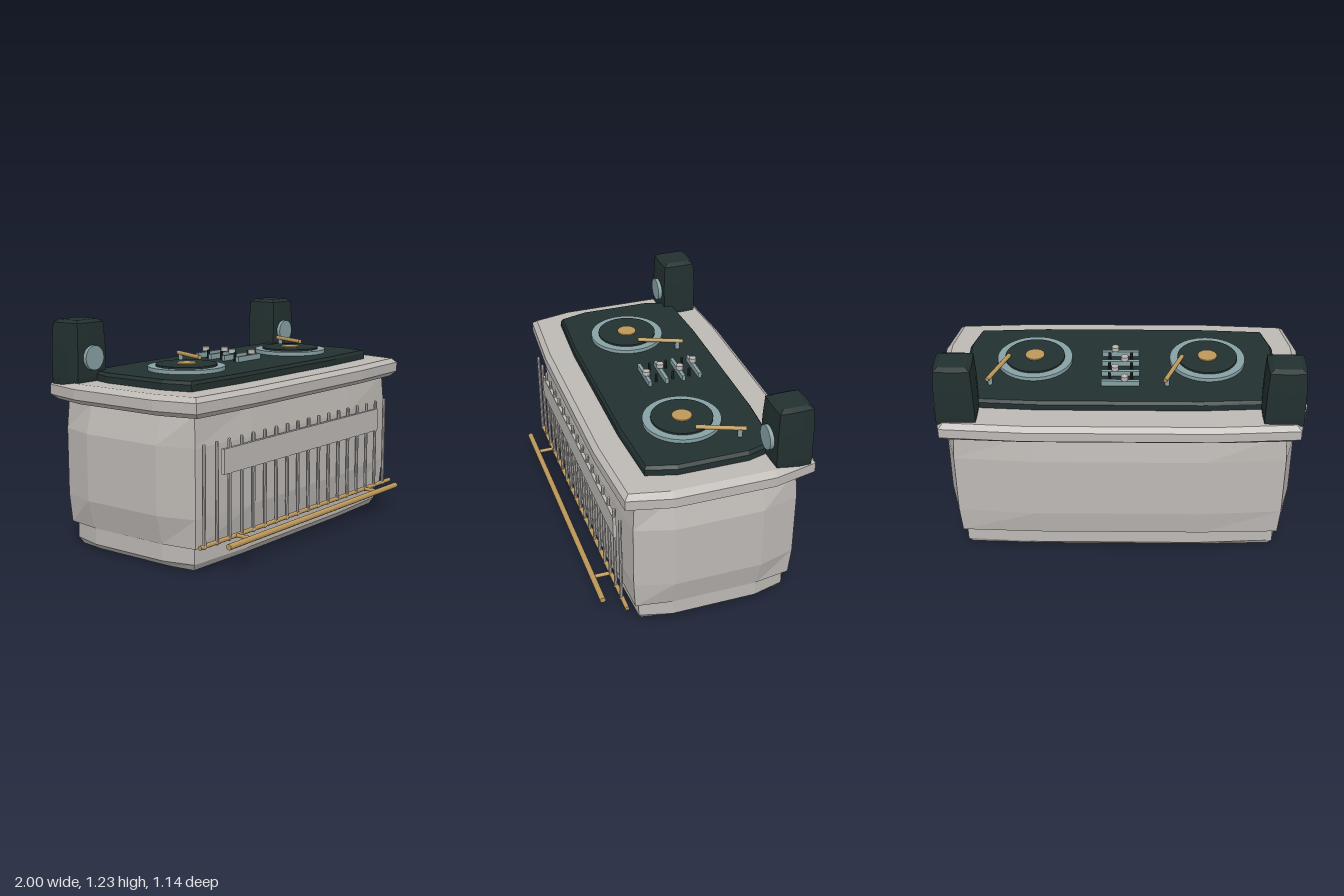
import * as THREE from 'three';

const mat = (name, color, flat = false) => {
  const m = new THREE.MeshStandardMaterial({ color });
  m.name = name;
  m.flatShading = flat;
  return m;
};

// Puffed box: stacked twelve-sided rings with pulled-in corners, closed at both ends.
// Each row is [y, halfWidth, halfDepth, cornerHalfWidth, cornerHalfDepth].
function puffedBox(rows, midX, midZ) {
  const rings = rows.map(([y, w, d, cw, cd]) => {
    const side = [[midX, d], [cw, cd], [w, midZ], [w, -midZ], [cw, -cd], [midX, -d]];
    const other = side.map(([x, z]) => [-x, -z]);
    return [...side, ...other].map(([x, z]) => [x, y, z]);
  });
  const pos = [];
  const tri = (a, b, c) => pos.push(...a, ...b, ...c);
  const n = 12;
  for (let r = 0; r < rings.length - 1; r++) {
    const lo = rings[r], hi = rings[r + 1];
    for (let i = 0; i < n; i++) {
      const j = (i + 1) % n;
      tri(lo[i], lo[j], hi[j]);
      tri(lo[i], hi[j], hi[i]);
    }
  }
  const bottom = rings[0], top = rings[rings.length - 1];
  for (let i = 0; i < n; i++) {
    const j = (i + 1) % n;
    tri([0, top[0][1], 0], top[i], top[j]);
    tri([0, bottom[0][1], 0], bottom[j], bottom[i]);
  }
  const g = new THREE.BufferGeometry();
  g.setAttribute('position', new THREE.Float32BufferAttribute(pos, 3));
  g.computeVertexNormals();
  return g;
}

export function createModel() {
  const model = new THREE.Group();
  model.name = 'djBooth';

  const grey = mat('warm grey', 0xbdb9b5, true);
  const greySmooth = grey;
  const dark = mat('dark slate', 0x22302f, true);
  const blue = mat('pale blue grey', 0x87a1a5);
  const gold = mat('brass', 0xbd985a);

  const add = (name, geo, material, x = 0, y = 0, z = 0, parent = model) => {
    const m = new THREE.Mesh(geo, material);
    m.name = name;
    m.position.set(x, y, z);
    parent.add(m);
    return m;
  };
  const disc = (r, h, n = 32) => new THREE.CylinderGeometry(r, r, h, n);
  // Round bar between two points
  const bar = (name, a, b, r, material, n = 10, parent = model) => {
    const p = new THREE.Vector3(...a), q = new THREE.Vector3(...b);
    const dir = q.clone().sub(p);
    const m = add(name, disc(r, dir.length(), n), material, 0, 0, 0, parent);
    m.position.copy(p).add(q).multiplyScalar(0.5);
    m.quaternion.setFromUnitVectors(new THREE.Vector3(0, 1, 0), dir.normalize());
    return m;
  };

  // Cabinet: plinth, bulging body and counter
  add('plinth', puffedBox([
    [0.003, 0.86, 0.405, 0.84, 0.39],
    [0.04, 0.905, 0.435, 0.86, 0.41],
    [0.14, 0.905, 0.435, 0.86, 0.41],
  ], 0.43, 0.235), grey, 0, 0, -0.035);
  add('body', puffedBox([
    [0.13, 0.91, 0.45, 0.88, 0.435],
    [0.285, 0.95, 0.475, 0.89, 0.445],
    [0.645, 0.95, 0.475, 0.89, 0.445],
    [0.805, 0.905, 0.45, 0.88, 0.435],
  ], 0.46, 0.24), grey, 0, 0, -0.035);
  add('counter', puffedBox([
    [0.8, 0.96, 0.5, 0.91, 0.48],
    [0.828, 1.0, 0.533, 0.945, 0.505],
    [0.882, 1.0, 0.533, 0.945, 0.505],
    [0.906, 0.965, 0.505, 0.92, 0.48],
  ], 0.5, 0.27), grey, 0, 0, -0.038);

  // Dark control deck
  add('deck', puffedBox([
    [0.9, 0.85, 0.37, 0.805, 0.348],
    [0.94, 0.85, 0.37, 0.805, 0.348],
    [0.957, 0.835, 0.358, 0.795, 0.338],
  ], 0.43, 0.19), dark, 0, 0, -0.028);

  // Speakers on the back corners
  for (const s of [-1, 1]) {
    const speaker = new THREE.Group();
    speaker.name = s < 0 ? 'rightSpeaker' : 'leftSpeaker';
    speaker.position.set(s * 0.853, 0, -0.417);
    model.add(speaker);
    add('speakerCabinet', puffedBox([
      [0.89, 0.104, 0.094, 0.102, 0.092],
      [0.93, 0.108, 0.099, 0.103, 0.096],
      [1.1, 0.105, 0.1, 0.1, 0.096],
      [1.215, 0.098, 0.094, 0.094, 0.09],
      [1.23, 0.072, 0.068, 0.07, 0.066],
    ], 0.035, 0.033), dark, 0, 0, 0, speaker);
    add('speakerCone', disc(0.065, 0.025, 24), blue, 0, 1.032, 0.107, speaker).rotation.x = Math.PI / 2;
  }

  // Turntables with the tonearm on the same side of each
  for (const x of [-0.477, 0.473]) {
    const turntable = new THREE.Group();
    turntable.name = 'turntable';
    turntable.position.set(x, 0, 0.007);
    model.add(turntable);
    add('platter', disc(0.207, 0.03, 40), blue, 0, 0.963, 0, turntable);
    add('record', disc(0.164, 0.01, 40), dark, 0, 0.983, 0, turntable);
    add('recordLabel', disc(0.053, 0.008, 24), gold, 0, 0.991, 0, turntable);
    bar('tonearm', [0.14, 1.003, -0.025], [0.238, 1.003, -0.265], 0.012, gold, 10, turntable);
    add('tonearmPost', disc(0.013, 0.05, 12), blue, 0.226, 0.977, -0.235, turntable);
  }

  // Mixer faders
  [[-0.235, -0.022], [-0.14, 0.03], [-0.043, -0.022], [0.054, 0.03]].forEach(([z, x], i) => {
    add('faderTrack', new THREE.BoxGeometry(0.204, 0.03, 0.019), blue, 0, 0.973, z);
    add('faderStem', disc(0.009, 0.03, 8), dark, x, 0.99, z);
    add('faderKnob', disc(0.02, 0.024, 14), greySmooth, x, 1.005, z);
    if (i < 3) for (const s of [-1, 1])
      add('smallButton', disc(0.008, 0.05, 8), dark, s * 0.06, 0.98, z + 0.05);
  });

  // Front grille: upright rods and a cross panel
  const rod = new THREE.CapsuleGeometry(0.0095, 0.515, 4, 8);
  for (let i = 0; i < 18; i++)
    add('grilleRod', rod, greySmooth, -0.88 + i * 0.1, 0.407, 0.457);
  add('grillePanel', new THREE.BoxGeometry(1.465, 0.13, 0.018), grey, -0.002, 0.56, 0.459);

  // Brass rails along the foot
  bar('lowerRail', [-0.91, 0.155, 0.453], [0.91, 0.155, 0.453], 0.012, gold);
  bar('footRail', [-0.81, 0.155, 0.555], [0.81, 0.155, 0.555], 0.016, gold);
  for (const x of [-0.62, 0.615])
    bar('railBracket', [x, 0.155, 0.45], [x, 0.155, 0.555], 0.011, gold);

  return model;
}
